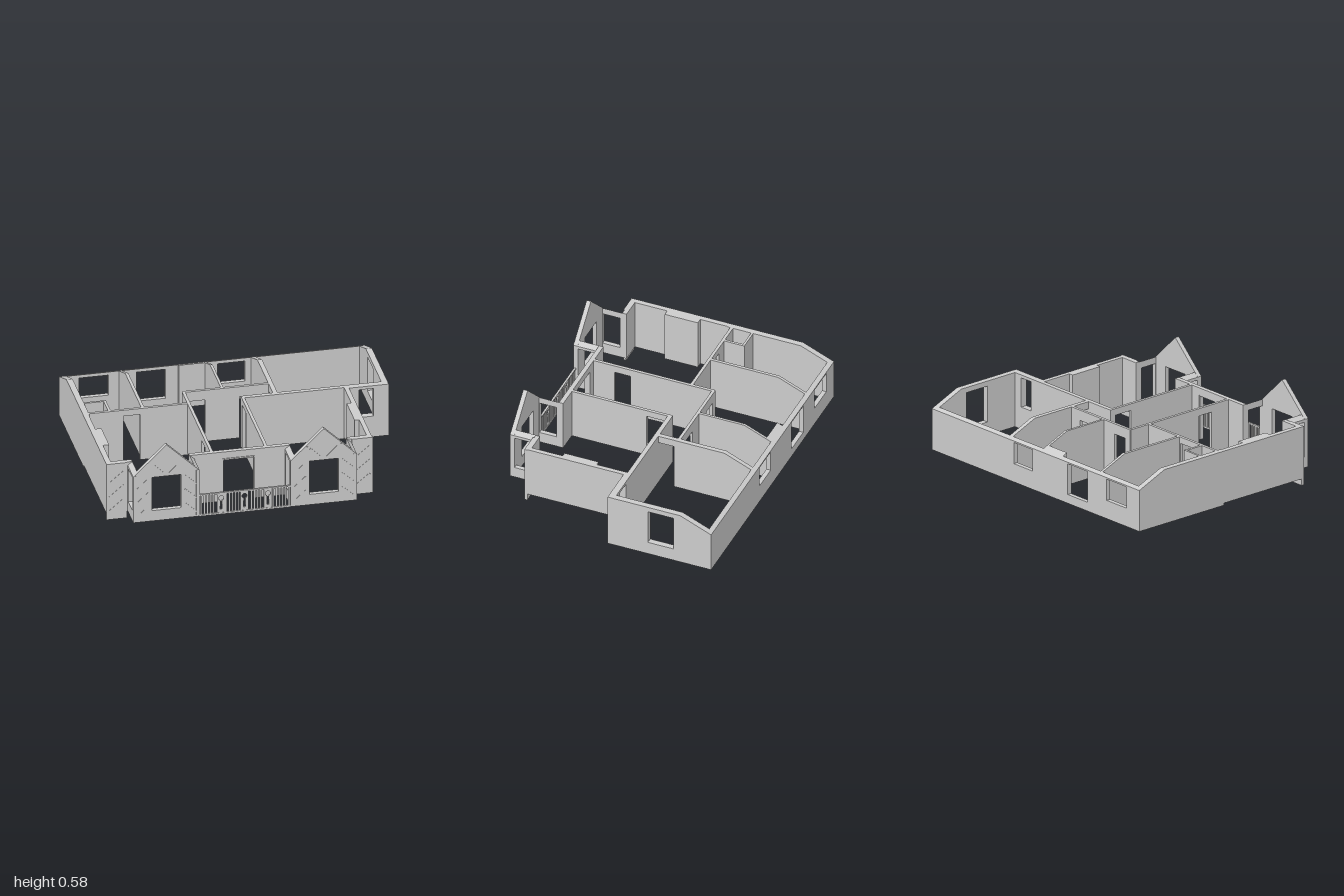
import * as THREE from 'three';

const grey = new THREE.MeshStandardMaterial({ color: 0xcccccc });
const TOP = 0.4, LOW = 0.03, BASE = 0.045, EAVE = -0.57, BACK = -0.785;
// height of the wall tops under the sloping rear roof
const roof = z => (z >= EAVE ? 1 : 0.31 + (z - BACK) * 0.09 / (EAVE - BACK));

function rectPath(a, b, ya, yb) {
  const p = new THREE.Path();
  p.moveTo(a, ya);
  p.lineTo(a, yb);
  p.lineTo(b, yb);
  p.lineTo(b, ya);
  p.closePath();
  return p;
}

// wall panel: doors [a, b, head] notch the bottom, windows [a, b, sill, head] are holes
function panel(u0, u1, y0, depth, { doors = [], windows = [], top } = {}) {
  const pts = [[u0, y0]];
  for (const [a, b, h] of doors) pts.push([a, y0], [a, h], [b, h], [b, y0]);
  pts.push([u1, y0], ...(top || [[u1, TOP], [u0, TOP]]));
  const shape = new THREE.Shape(pts.map(p => new THREE.Vector2(...p)));
  shape.holes = windows.map(w => rectPath(...w));
  return new THREE.ExtrudeGeometry(shape, { depth, bevelEnabled: false });
}

// lower every vertex that would stand above the given height rule
function trim(geo, rule) {
  const p = geo.attributes.position;
  for (let i = 0; i < p.count; i++) p.setY(i, Math.min(p.getY(i), rule(p.getX(i), p.getZ(i))));
  geo.computeVertexNormals();
  return geo;
}

export function createModel() {
  const model = new THREE.Group();
  model.name = 'bungalow';
  const add = (name, geo, parent = model) => {
    const m = new THREE.Mesh(geo, grey);
    m.name = name;
    parent.add(m);
    return m;
  };
  const box = (name, x0, x1, y0, y1, z0, z1, parent) => {
    const g = new THREE.BoxGeometry(x1 - x0, y1 - y0, z1 - z0);
    g.translate((x0 + x1) / 2, (y0 + y1) / 2, (z0 + z1) / 2);
    return add(name, trim(g, (x, z) => roof(z)), parent);
  };
  const wallX = (name, x0, x1, z0, z1, y0, opts, parent) => {
    const g = panel(x0, x1, y0, z1 - z0, opts).translate(0, 0, z0);
    return add(name, trim(g, (x, z) => roof(z)), parent);
  };
  const wallZ = (name, x0, x1, z0, z1, y0, opts = {}, parent, rule) => {
    const top = z0 < EAVE ? [[z1, TOP], [EAVE, TOP], [z0, TOP]] : undefined;
    const g = panel(z0, z1, y0, x1 - x0, { top, ...opts });
    g.rotateY(-Math.PI / 2).translate(x1, 0, 0);
    return add(name, trim(g, rule || ((x, z) => roof(z))), parent);
  };

  // outer walls
  wallX('backWall', -1, 1, BACK, -0.755, LOW, {
    windows: [[-0.875, -0.685, 0.155, 0.3], [-0.5, -0.31, 0.09, 0.3], [0.03, 0.21, 0.155, 0.3]],
  });
  wallZ('rightWallRear', -1, -0.96, BACK, -0.06, LOW);
  wallZ('rightWallFront', -1, -0.965, -0.06, 0.615, BASE);
  wallZ('leftWallRear', 0.96, 1, BACK, -0.065, LOW, { windows: [[-0.525, -0.345, 0.12, 0.365]] });
  wallZ('leftWallFront', 0.71, 0.74, -0.1, 0.615, BASE);
  wallX('returnWall', 0.71, 1, -0.11, -0.065, LOW, { windows: [[0.805, 0.9, 0.18, 0.38]] });
  wallX('frontWallRight', -1, -0.83, 0.585, 0.615, BASE);
  wallX('frontWallMiddle', -0.455, 0.2, 0.585, 0.615, BASE, { doors: [[-0.235, -0.03, 0.35]] });
  wallX('frontWallLeft', 0.58, 0.74, 0.585, 0.615, BASE);

  // inner walls
  wallZ('partitionRight', -0.615, -0.595, -0.77, -0.1, LOW);
  wallZ('partitionMiddle', -0.06, -0.043, -0.77, -0.245, LOW);
  wallZ('partitionLeft', 0.25, 0.28, -0.77, -0.08, LOW, { doors: [[-0.22, -0.11, 0.35]] });
  wallX('hallBackWall', -0.31, 0.28, -0.255, -0.235, LOW, {
    doors: [[-0.265, -0.165, 0.33], [0.06, 0.17, 0.33]],
  });
  wallX('bedroomWall', -0.97, -0.3, -0.1, -0.08, LOW, { doors: [[-0.735, -0.625, 0.357]] });
  wallX('livingRoomWall', 0.04, 0.72, -0.11, -0.08, LOW);
  wallZ('hallWallRight', -0.315, -0.295, -0.25, 0.59, BASE, { doors: [[0.33, 0.44, 0.35]] });
  wallZ('hallWallLeft', 0.04, 0.06, -0.1, 0.59, BASE, { doors: [[-0.065, 0.065, 0.355]] });
  wallX('closetBackWall', -0.97, -0.815, -0.24, -0.225, LOW);
  wallZ('closetSideWall', -0.832, -0.815, -0.24, -0.09, LOW);
  box('threshold', -0.315, -0.295, LOW, BASE, 0.33, 0.44);

  // chimney breasts
  box('chimneyRight', -0.98, -0.925, BASE, TOP, 0.13, 0.36);
  box('chimneyLeft', 0.68, 0.72, BASE, TOP, 0.135, 0.37);
  box('chimneyBack', -0.23, -0.055, LOW, TOP, -0.77, -0.72);

  // front door frame
  const frame = new THREE.Group();
  frame.name = 'frontDoorFrame';
  model.add(frame);
  box('doorHead', -0.24, -0.025, 0.343, 0.353, 0.59, 0.62, frame);
  for (const x of [-0.24, -0.033]) box('doorJamb', x, x + 0.008, BASE, 0.343, 0.59, 0.62, frame);

  // thin timber board on the front face, between two points
  const board = (x0, y0, x1, y1, z, parent) => {
    const g = new THREE.BoxGeometry(Math.hypot(x1 - x0, y1 - y0), 0.012, 0.004);
    g.rotateZ(Math.atan2(y1 - y0, x1 - x0)).translate((x0 + x1) / 2, (y0 + y1) / 2, z);
    add('timberBoard', g, parent);
  };

  // gabled bays
  for (const [side, cx] of [['Right', -0.642], ['Left', 0.388]]) {
    const bay = new THREE.Group();
    bay.name = 'bay' + side;
    model.add(bay);
    const h = 0.2175, eave = 0.375, peak = 0.585;
    const x0 = cx - h, x1 = cx + h;
    const slope = x => peak - Math.abs(x - cx) * (peak - eave) / h;
    wallX('gable', x0, x1, 0.752, 0.782, BASE, {
      windows: [[cx - 0.094, cx + 0.096, 0.12, 0.36]],
      top: [[x1, eave], [cx, peak], [x0, eave]],
    }, bay);
    for (const x of [x0, x1 - 0.03]) {
      wallZ('baySide', x, x + 0.03, 0.585, 0.752, BASE, {
        windows: [[0.63, 0.75, 0.12, 0.355]],
      }, bay, slope);
    }
    for (const s of [-1, 1]) {
      for (const d of [0.112, 0.2]) board(cx + s * d, 0.055, cx + s * d, slope(cx + d) - 0.01, 0.782, bay);
      for (const y of [0.08, 0.18, 0.28]) board(cx + s * 0.118, y + 0.07, cx + s * 0.194, y, 0.782, bay);
      board(cx + s * 0.02, 0.38, cx + s * 0.09, 0.45, 0.782, bay);
    }
  }

  // wing panels beside the bays, reaching the ground
  for (const [side, x0, x1] of [['Right', -1, -0.865], ['Left', 0.607, 0.745]]) {
    const wing = new THREE.Group();
    wing.name = 'wingPanel' + side;
    model.add(wing);
    box('panel', x0, x1, 0, TOP, 0.602, 0.622, wing);
    for (const y of [0.06, 0.16, 0.26]) board(x0 + 0.02, y, x1 - 0.02, y + 0.08, 0.622, wing);
  }

  // porch railing
  const railing = new THREE.Group();
  railing.name = 'porchRailing';
  model.add(railing);
  box('topRail', -0.425, 0.172, 0.186, 0.196, 0.763, 0.777, railing);
  box('bottomRail', -0.425, 0.172, 0.04, 0.052, 0.763, 0.777, railing);
  const centres = [-0.283, -0.13, 0.023];
  for (let i = 0; i < 29; i++) {
    const x = -0.413 + i * 0.0205;
    if (centres.some(c => Math.abs(c - x) < 0.034)) continue;
    box('baluster', x - 0.0055, x + 0.0055, 0.05, 0.188, 0.766, 0.775, railing);
  }
  for (const c of centres) {
    // wide board with a keyhole cut-out
    const shape = new THREE.Shape([[-0.027, 0.05], [0.027, 0.05], [0.027, 0.188], [-0.027, 0.188]]
      .map(p => new THREE.Vector2(...p)));
    const hole = new THREE.Path();
    hole.moveTo(-0.007, 0.075);
    hole.lineTo(0.007, 0.075);
    hole.absarc(0, 0.155, 0.017, -1.3, Math.PI + 1.3, false);
    hole.closePath();
    shape.holes.push(hole);
    const g = new THREE.ExtrudeGeometry(shape, { depth: 0.009, bevelEnabled: false, curveSegments: 10 });
    add('keyholeBoard', g.translate(c, 0, 0.766), railing);
  }
  return model;
}
